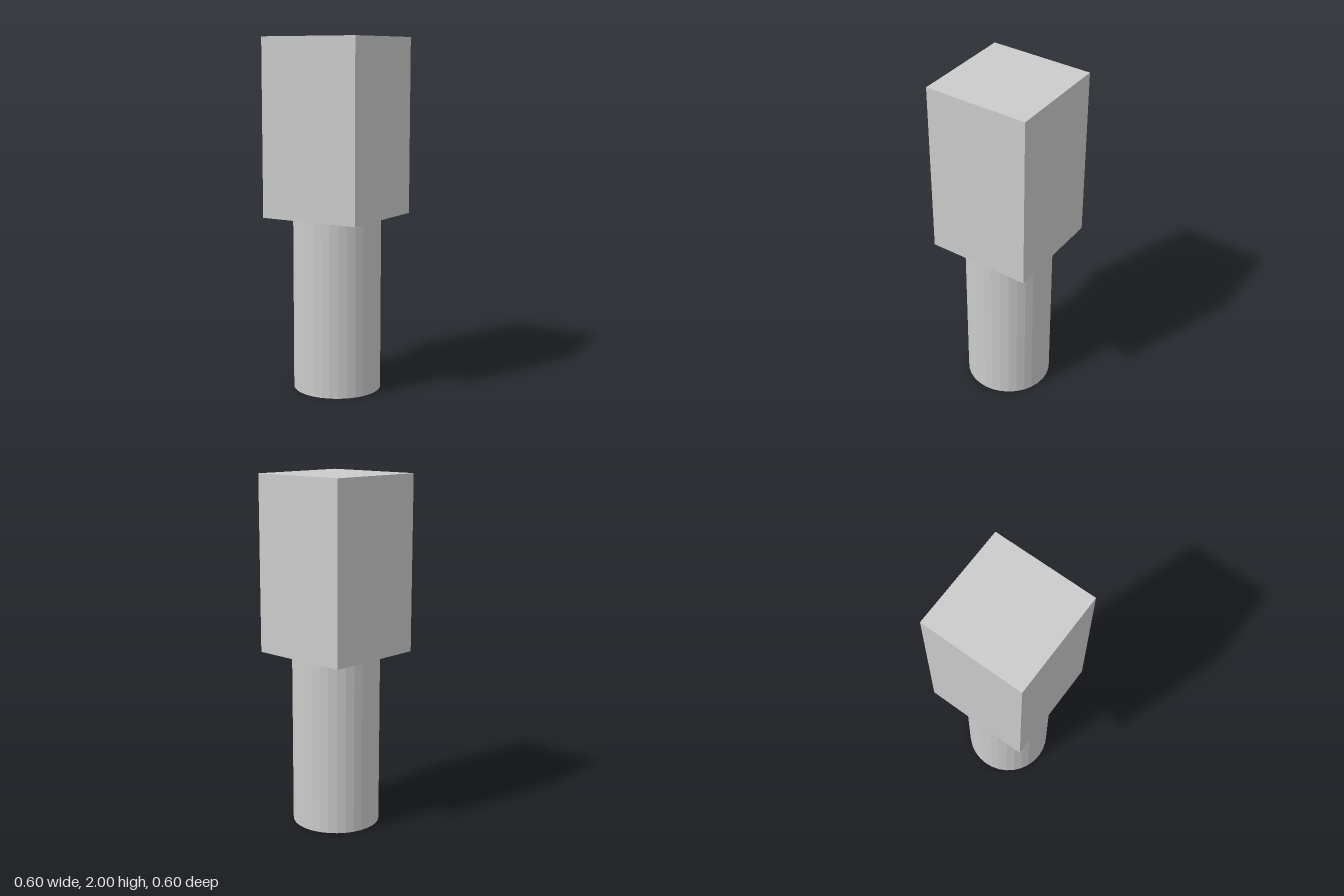
import * as THREE from 'three';

export function createModel() {
  const group = new THREE.Group();
  const material = new THREE.MeshStandardMaterial({ color: 0xcccccc, flatShading: true });

  const addPart = (name, geometry, y) => {
    const mesh = new THREE.Mesh(geometry, material);
    mesh.name = name;
    mesh.position.y = y;
    group.add(mesh);
  };

  // Round faceted shaft standing on the ground
  addPart('shaft', new THREE.CylinderGeometry(0.25, 0.25, 1, 32), 0.5);

  // Square block resting on the shaft
  addPart('headBlock', new THREE.BoxGeometry(0.6, 1, 0.6), 1.5);

  return group;
}
